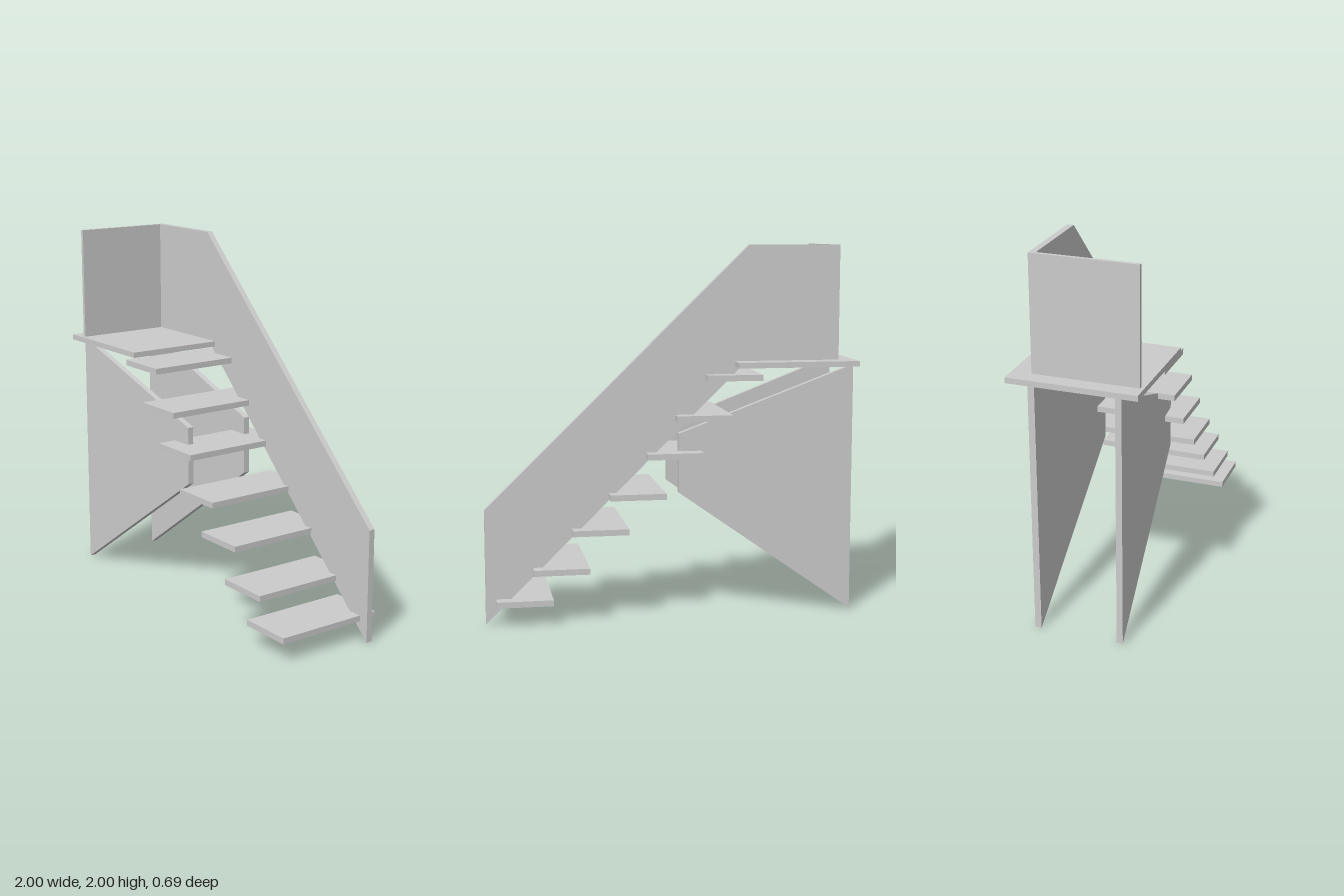
import * as THREE from 'three';

const material = new THREE.MeshStandardMaterial({ color: 0xcccccc, flatShading: true });

export function createModel() {
  const model = new THREE.Group();
  model.name = 'staircase';

  const add = (name, geometry) => {
    const mesh = new THREE.Mesh(geometry, material);
    mesh.name = name;
    model.add(mesh);
    return mesh;
  };

  // Box given by its limits on each axis
  const slab = (name, x0, x1, y0, y1, z0, z1) =>
    add(name, new THREE.BoxGeometry(x1 - x0, y1 - y0, z1 - z0))
      .position.set((x0 + x1) / 2, (y0 + y1) / 2, (z0 + z1) / 2);

  // Flat panel cut from an outline in the xy plane
  const panel = (outline, z0, z1) => {
    const shape = new THREE.Shape(outline.map(([x, y]) => new THREE.Vector2(x, y)));
    return new THREE.ExtrudeGeometry(shape, { depth: z1 - z0, bevelEnabled: false }).translate(0, 0, z0);
  };

  // Landing and its end wall
  slab('landing', -1, -0.34, 1.355, 1.385, -0.345, 0.34);
  slab('landingEndWall', -0.912, -0.892, 1.38, 2, -0.24, 0.32);

  // Solid balustrade following the flight
  add('balustrade', panel(
    [[-0.912, 1.36], [-0.38, 1.36], [1, 0.005], [1, 0.62], [-0.415, 2], [-0.912, 2]], -0.24, -0.206));

  // Floating treads: [left edge, underside]
  const treads = [[0.645, 0.107], [0.45, 0.27], [0.24, 0.475], [0.04, 0.66], [-0.16, 0.873], [-0.317, 1.072], [-0.48, 1.285]];
  treads.forEach(([x, y], i) => slab('tread' + (i + 1), x, x + 0.3, y, y + 0.032, -0.31, 0.302));

  // Supports under the landing; the front one swings inward
  const support = [[-1, 0], [-0.04, 0.68], [-0.04, 1], [-1, 1.357]];
  add('backSupport', panel(support, -0.225, -0.19));
  const front = panel(support, 0.225, 0.258);
  const p = front.attributes.position;
  for (let i = 0; i < p.count; i++) p.setZ(i, p.getZ(i) - 0.07 * (p.getX(i) + 1));
  front.computeVertexNormals();
  add('frontSupport', front);

  return model;
}
